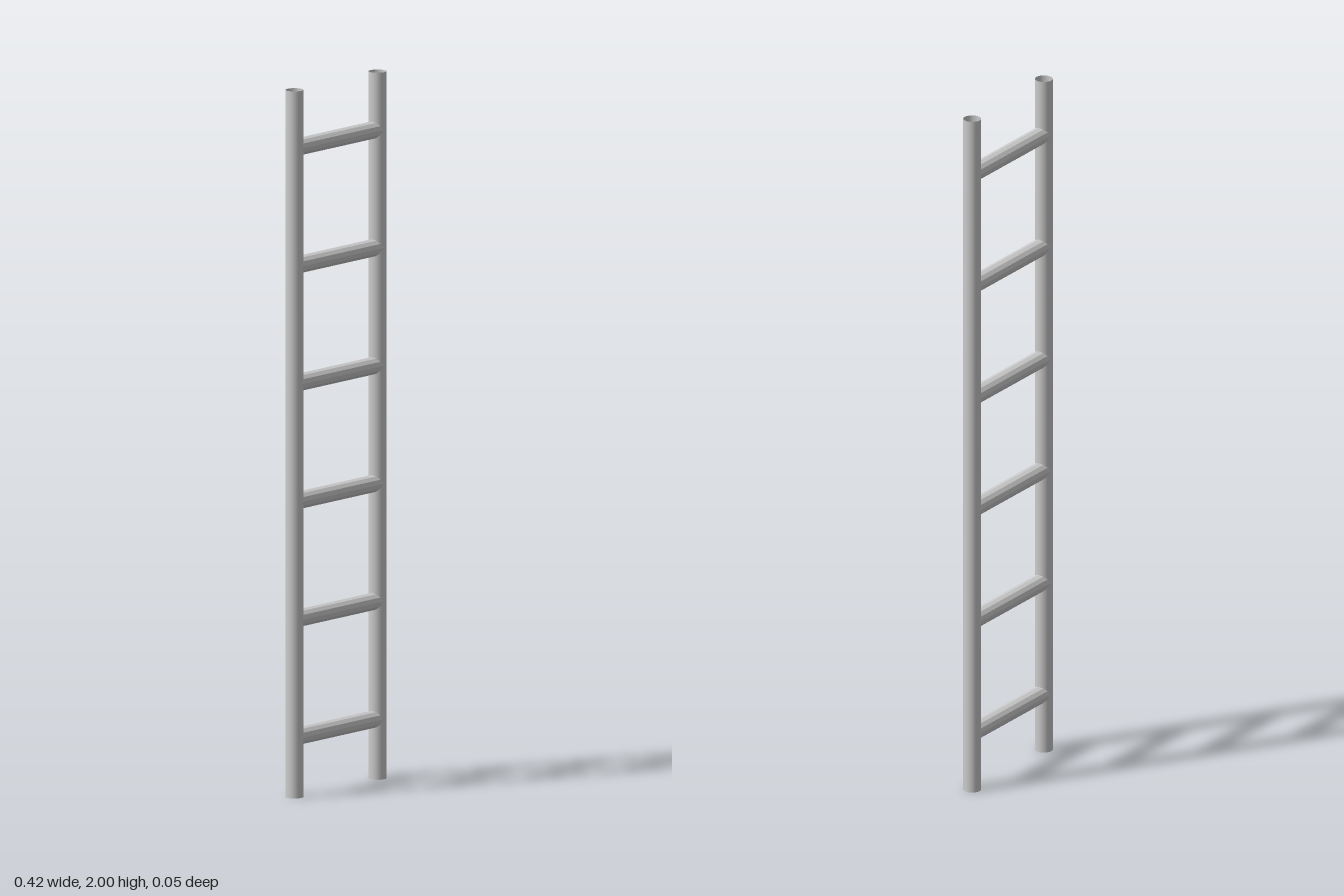
import * as THREE from 'three';

const RADIUS = 0.025; // rails and rungs
const RAIL_X = 0.183;
const HEIGHT = 2;
const RUNGS = 6;
const SIDES = 12; // facets around a rung

// Faceted bar along x whose ends are hollowed to fit round the rails
function rungGeometry() {
  const geo = new THREE.CylinderGeometry(RADIUS, RADIUS, 2, SIDES * 4, 1, true);
  geo.rotateZ(Math.PI / 2);
  const pos = geo.attributes.position;
  const step = (2 * Math.PI) / SIDES;
  for (let i = 0; i < pos.count; i++) {
    const angle = Math.atan2(pos.getY(i), pos.getZ(i));
    // pull points between corners onto the flat facets
    const local = angle - (Math.floor(angle / step + 1e-4) + 0.5) * step;
    const r = (RADIUS * Math.cos(step / 2)) / Math.cos(local);
    const y = r * Math.sin(angle);
    const z = r * Math.cos(angle);
    const cut = RAIL_X - Math.sqrt(Math.max(0, RADIUS * RADIUS - z * z));
    pos.setXYZ(i, Math.sign(pos.getX(i)) * cut, y, z);
  }
  geo.computeVertexNormals();
  return geo;
}

export function createModel() {
  const ladder = new THREE.Group();
  ladder.name = 'ladder';
  const smooth = new THREE.MeshStandardMaterial({ color: 0xcccccc, side: THREE.DoubleSide });
  const faceted = new THREE.MeshStandardMaterial({ color: 0xcccccc, side: THREE.DoubleSide, flatShading: true });

  // Open tubular side rails
  const railGeo = new THREE.CylinderGeometry(RADIUS, RADIUS, HEIGHT, 32, 1, true);
  for (const [name, side] of [['leftRail', 1], ['rightRail', -1]]) {
    const rail = new THREE.Mesh(railGeo, smooth);
    rail.name = name;
    rail.position.set(side * RAIL_X, HEIGHT / 2, 0);
    ladder.add(rail);
  }

  // Evenly spaced rungs
  const rungGeo = rungGeometry();
  for (let i = 0; i < RUNGS; i++) {
    const rung = new THREE.Mesh(rungGeo, faceted);
    rung.name = `rung${i + 1}`;
    rung.position.y = ((i + 0.5) * HEIGHT) / RUNGS + 0.003;
    ladder.add(rung);
  }
  return ladder;
}
